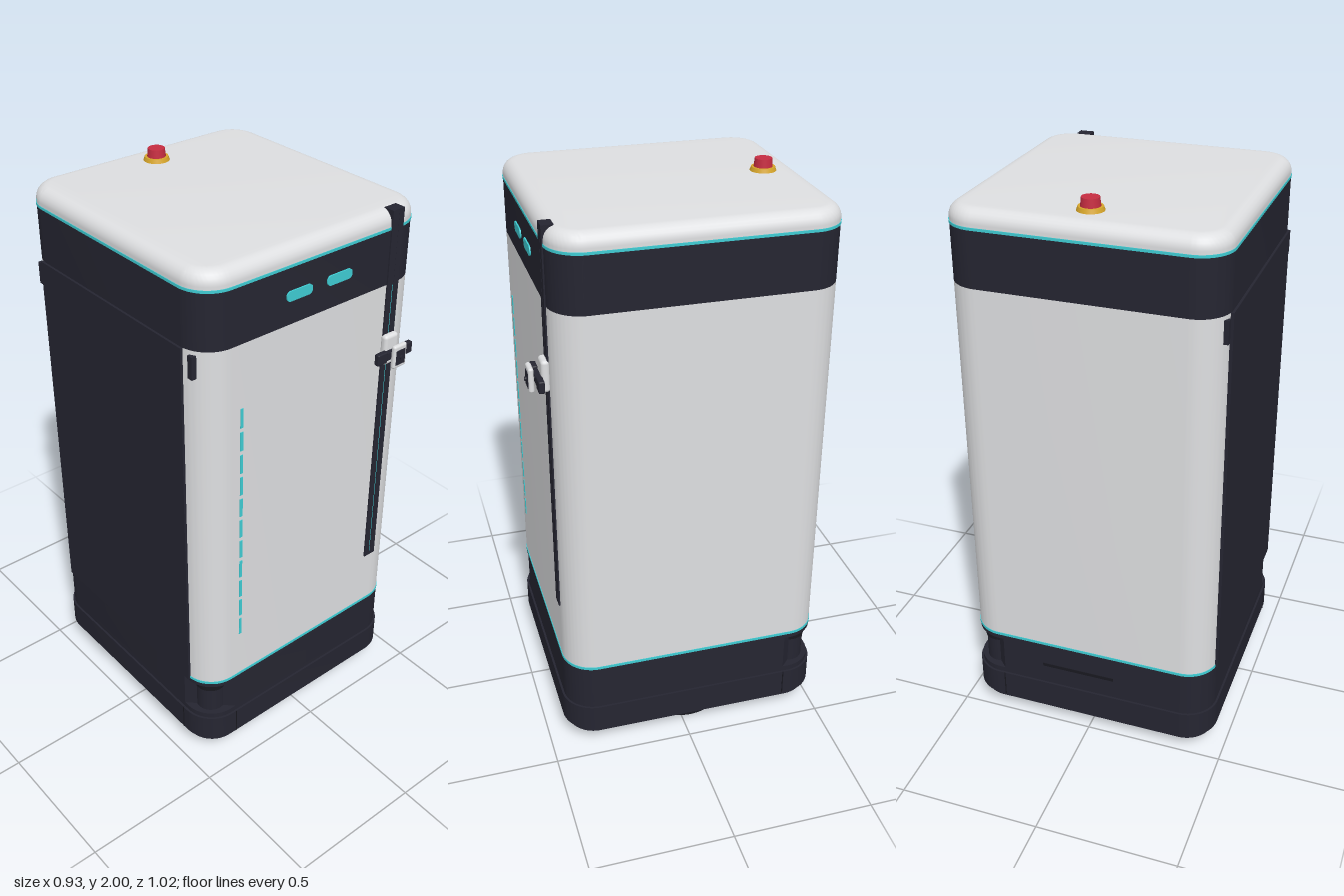
import * as THREE from 'three';
import { toCreasedNormals } from 'three/addons/utils/BufferGeometryUtils.js';
import { RoundedBoxGeometry } from 'three/addons/geometries/RoundedBoxGeometry.js';

const CZ = -0.035; // depth centre of the cabinet

export function createModel() {
  const material = (name, color) => {
    const m = new THREE.MeshStandardMaterial({ color });
    m.name = name;
    return m;
  };
  const shell = material('shell grey', 0xdedfe1);
  const dark = material('dark navy', 0x252531);
  const black = material('rubber black', 0x191920);
  const teal = material('teal light', 0x3fcdd4);
  const red = material('button red', 0xc62d41);
  const yellow = material('button yellow', 0xd6a52a);

  const root = new THREE.Group();
  root.name = 'cabinetRobot';
  const add = (name, geo, mat, x = 0, y = 0, z = 0) => {
    const mesh = new THREE.Mesh(geo, mat);
    mesh.name = name;
    mesh.position.set(x, y, z);
    root.add(mesh);
    return mesh;
  };
  const box = (name, w, h, d, mat, x, y, z) => add(name, new THREE.BoxGeometry(w, h, d), mat, x, y, z);
  const cyl = (name, r0, r1, h, mat, x, y, z) => add(name, new THREE.CylinderGeometry(r0, r1, h, 32), mat, x, y, z);

  // Rounded rectangle; cut > 0 chamfers the front-left and back-right sensor corners
  const outline = (w, h, r, cut = 0) => {
    const s = new THREE.Shape(), a = w / 2, b = h / 2;
    s.moveTo(-a + r, b);
    if (cut) {
      s.moveTo(-a + cut, b).lineTo(-a, b - cut);
    } else s.absarc(-a + r, b - r, r, Math.PI / 2, Math.PI);
    s.absarc(-a + r, -b + r, r, Math.PI, Math.PI * 1.5);
    if (cut) s.lineTo(a - cut, -b).lineTo(a, -b + cut);
    else s.absarc(a - r, -b + r, r, Math.PI * 1.5, Math.PI * 2);
    s.absarc(a - r, b - r, r, 0, Math.PI / 2);
    s.closePath();
    return s;
  };
  // Horizontal slab between two heights
  const slab = (name, w, d, r, y0, y1, mat, cut = 0) => {
    const s = outline(w, d, r, cut);
    const geo = new THREE.ExtrudeGeometry(s, { depth: y1 - y0, bevelEnabled: false, curveSegments: 12 });
    geo.rotateX(-Math.PI / 2);
    // the chamfers belong at -x +z and +x -z
    if (cut) geo.rotateY(Math.PI / 2);
    return add(name, toCreasedNormals(geo, 0.6), mat, 0, y0, CZ);
  };

  // Main cabinet stack
  const W = 0.91, D = 0.94, R = 0.11;
  slab('bottomPlate', 0.89, 0.92, 0.1, 0.055, 0.08, dark);
  slab('bumper', 0.925, 0.955, 0.117, 0.08, 0.18, dark);
  slab('baseLower', W, D, R, 0.18, 0.2, dark);
  slab('baseMiddle', D, W, R, 0.2, 0.335, dark, 0.13);
  slab('baseUpper', W, D, R, 0.335, 0.352, dark);
  slab('lowerLightRing', 0.914, 0.944, 0.112, 0.352, 0.362, teal);
  slab('body', W, D, R, 0.362, 1.705, shell);
  slab('headBand', W, D, R, 1.705, 1.895, dark);
  slab('upperLightRing', 0.914, 0.944, 0.112, 1.895, 1.904, teal);

  // Lid with a rounded upper edge
  const bevel = 0.045;
  const lidGeo = new THREE.ExtrudeGeometry(outline(W - bevel * 2, D - bevel * 2, R - bevel), {
    depth: 0.001, bevelEnabled: true, bevelThickness: bevel, bevelSize: bevel, bevelSegments: 6, curveSegments: 12,
  });
  lidGeo.rotateX(-Math.PI / 2);
  // flatten the lower half of the bevel into a straight side
  const p = lidGeo.attributes.position;
  for (let i = 0; i < p.count; i++) {
    if (p.getY(i) > 0.0005) continue;
    const x = p.getX(i), z = p.getZ(i);
    const t = THREE.MathUtils.clamp(-p.getY(i) / bevel, 0, 1);
    const grow = bevel * (1 - Math.sqrt(Math.max(0, 1 - t * t)));
    // push each point out along the corner normal
    const ix = W / 2 - R, iz = D / 2 - R;
    const dx = x - THREE.MathUtils.clamp(x, -ix, ix), dz = z - THREE.MathUtils.clamp(z, -iz, iz);
    const len = Math.hypot(dx, dz) || 1;
    p.setXYZ(i, x + dx / len * grow, p.getY(i) * 0.2, z + dz / len * grow);
  }
  lidGeo.computeVertexNormals();
  add('lid', toCreasedNormals(lidGeo, 0.6), shell, 0, 1.913, CZ);

  // Emergency stop button
  cyl('stopCollar', 0.04, 0.045, 0.014, yellow, 0, 1.965, -0.382);
  cyl('stopButton', 0.029, 0.032, 0.03, red, 0, 1.985, -0.382);

  // Dark side door with its two hinges
  box('sideDoor', 0.014, 1.355, 0.76, dark, -0.456, 1.0275, CZ - 0.005);
  for (const z of [0.375, -0.44]) box('doorHinge', 0.018, 0.078, 0.02, dark, -0.447, 1.652, z);

  // Eyes
  for (const s of [-1, 1]) {
    const eye = new THREE.ExtrudeGeometry(outline(0.104, 0.034, 0.015), { depth: 0.006, bevelEnabled: false });
    add('eye', eye, teal, s * 0.083, 1.802, 0.434);
  }

  // Dashed light line on the front
  for (let i = 0; i < 11; i++) box('lightDash', 0.011, 0.07, 0.005, teal, -0.305, 0.585 + i * 0.086, 0.435);

  // Vertical rail on the front
  for (const s of [-1, 1]) box('railEdge', 0.022, 1.38, 0.04, dark, 0.325 + s * 0.014, 1.27, 0.42);
  box('railLight', 0.006, 1.12, 0.03, teal, 0.325, 1.14, 0.422);
  box('railTop', 0.05, 0.26, 0.039, dark, 0.325, 1.83, 0.42);
  box('railFoot', 0.05, 0.012, 0.04, dark, 0.325, 0.584, 0.42);

  // Sliding clamp with crossbar
  const rounded = (name, w, h, d, r, mat, x, y, z) => add(name, new RoundedBoxGeometry(w, h, d, 3, r), mat, x, y, z);
  rounded('clampPlate', 0.062, 0.11, 0.028, 0.012, shell, 0.325, 1.47, 0.446);
  box('crossbar', 0.15, 0.026, 0.018, dark, 0.325, 1.46, 0.469);
  for (const s of [-1, 1]) rounded('crossbarGrip', 0.045, 0.042, 0.02, 0.005, dark, 0.325 + s * 0.058, 1.46, 0.469);
  rounded('clampFace', 0.06, 0.085, 0.018, 0.008, shell, 0.325, 1.462, 0.492);
  rounded('clampPad', 0.042, 0.055, 0.006, 0.002, dark, 0.325, 1.46, 0.5);
  const pin = cyl('clampPin', 0.007, 0.007, 0.055, dark, 0.325, 1.46, 0.482);
  pin.rotation.x = Math.PI / 2;

  // Scanners in the two cut corners of the base
  for (const s of [-1, 1]) {
    const x = s * 0.372, z = CZ - s * 0.387;
    cyl('scannerBody', 0.054, 0.054, 0.135, dark, x, 0.2675, z);
    cyl('scannerCap', 0.058, 0.058, 0.03, black, x, 0.315, z);
  }

  // Bumper seams and rear charging slot
  box('frontSeam', 0.004, 0.1, 0.004, black, -0.325, 0.13, 0.442);
  box('backSeam', 0.004, 0.1, 0.004, black, 0.325, 0.13, -0.512);
  box('rightSeam', 0.004, 0.1, 0.004, black, 0.462, 0.13, -0.375);
  box('leftSeam', 0.004, 0.1, 0.004, black, -0.462, 0.13, 0.305);
  box('chargingSlot', 0.27, 0.012, 0.004, black, 0.035, 0.26, -0.505);

  // Drive wheels and casters
  const wheel = (name, r, w, x, z) => { cyl(name, r, r, w, black, x, r, z).rotation.z = Math.PI / 2; };
  for (const s of [-1, 1]) {
    wheel('driveWheel', 0.155, 0.078, s * 0.36, CZ);
    for (const z of [0.31, -0.375]) wheel('caster', 0.086, 0.05, s * 0.27, z);
  }
  return root;
}
